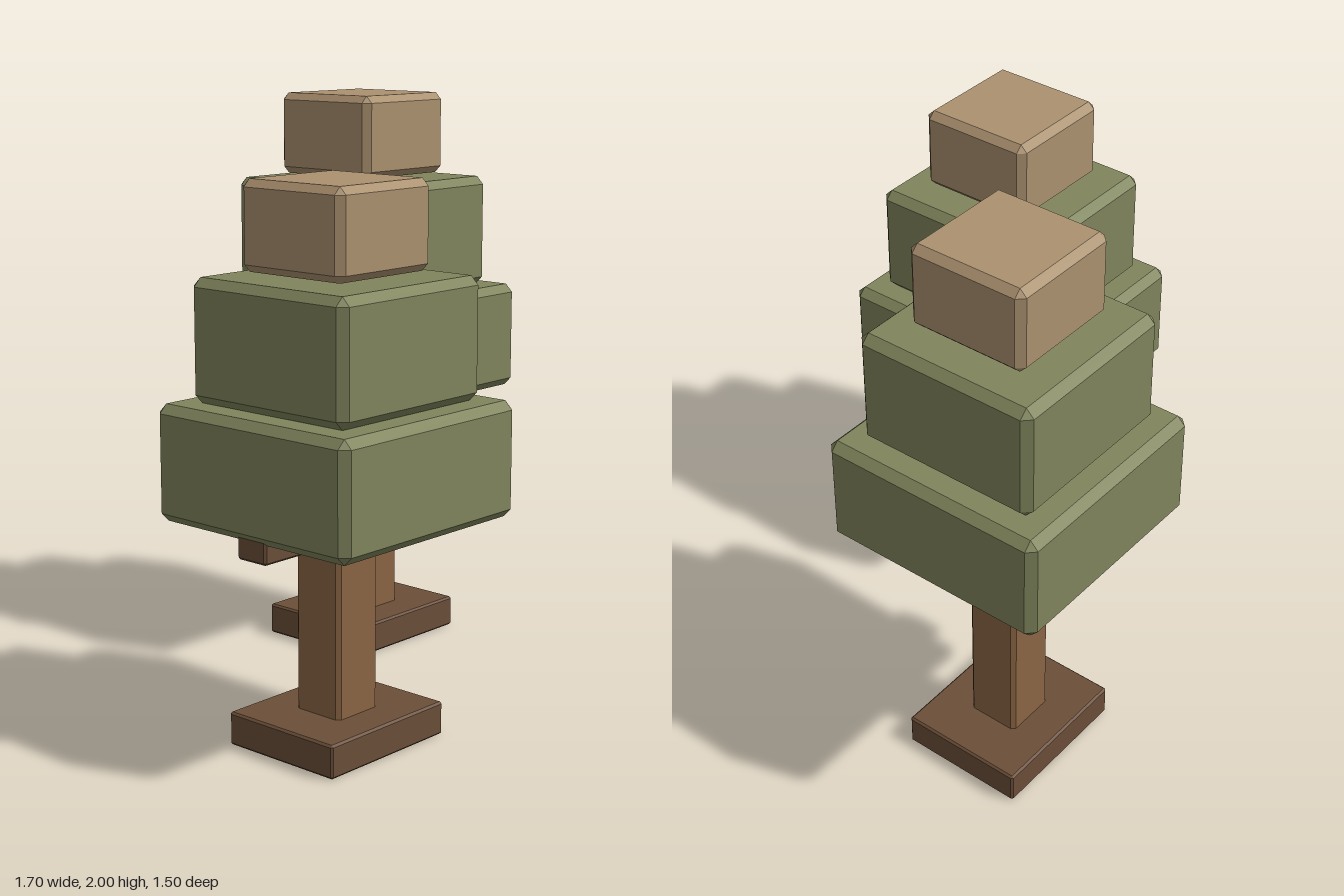
import * as THREE from 'three';
import { ConvexGeometry } from 'three/addons/geometries/ConvexGeometry.js';

const material = (color) => new THREE.MeshStandardMaterial({ color, flatShading: true });
const BARK = material(0x8b6544);
const DARK_BARK = material(0x6b4e38);
const LEAF = material(0x80855c);
const TIP = material(0xab9170);

// Box with every edge and corner chamfered by b
function chamferBox(w, h, d, b) {
  const [x, y, z] = [w / 2, h / 2, d / 2];
  const points = [];
  for (const i of [-1, 1]) for (const j of [-1, 1]) for (const k of [-1, 1]) {
    points.push(
      new THREE.Vector3(i * x, j * (y - b), k * (z - b)),
      new THREE.Vector3(i * (x - b), j * y, k * (z - b)),
      new THREE.Vector3(i * (x - b), j * (y - b), k * z)
    );
  }
  return new ConvexGeometry(points);
}

// Block standing between heights y0 and y1
function block(name, mat, w, d, y0, y1, bevel, x = 0) {
  const mesh = new THREE.Mesh(chamferBox(w, y1 - y0, d, bevel), mat);
  mesh.name = name;
  mesh.position.set(x, (y0 + y1) / 2, 0);
  return mesh;
}

// One tree; lift raises the crown and lengthens the trunk
function createTree(name, lift) {
  const tree = new THREE.Group();
  tree.name = name;
  tree.add(
    block('base', DARK_BARK, 0.527, 0.443, 0, 0.11, 0.007),
    block('trunk', BARK, 0.186, 0.186, 0.05, 0.78 + lift, 0.013),
    block('branch', DARK_BARK, 0.36, 0.12, 0.67, 0.768, 0.007, -0.2),
    block('lowerFoliage', LEAF, 0.8, 0.8, 0.733 + lift, 1.107 + lift, 0.028),
    block('upperFoliage', LEAF, 0.643, 0.643, 1.108 + lift, 1.5 + lift, 0.028),
    block('treeTop', TIP, 0.42, 0.42, 1.515 + lift, 1.8 + lift, 0.024)
  );
  return tree;
}

export function createModel() {
  const group = new THREE.Group();
  group.name = 'trees';
  const shortTree = createTree('shortTree', 0);
  shortTree.position.set(-0.448, 0, 0.348);
  const tallTree = createTree('tallTree', 0.2);
  tallTree.position.set(0.448, 0, -0.348);
  group.add(shortTree, tallTree);
  return group;
}
